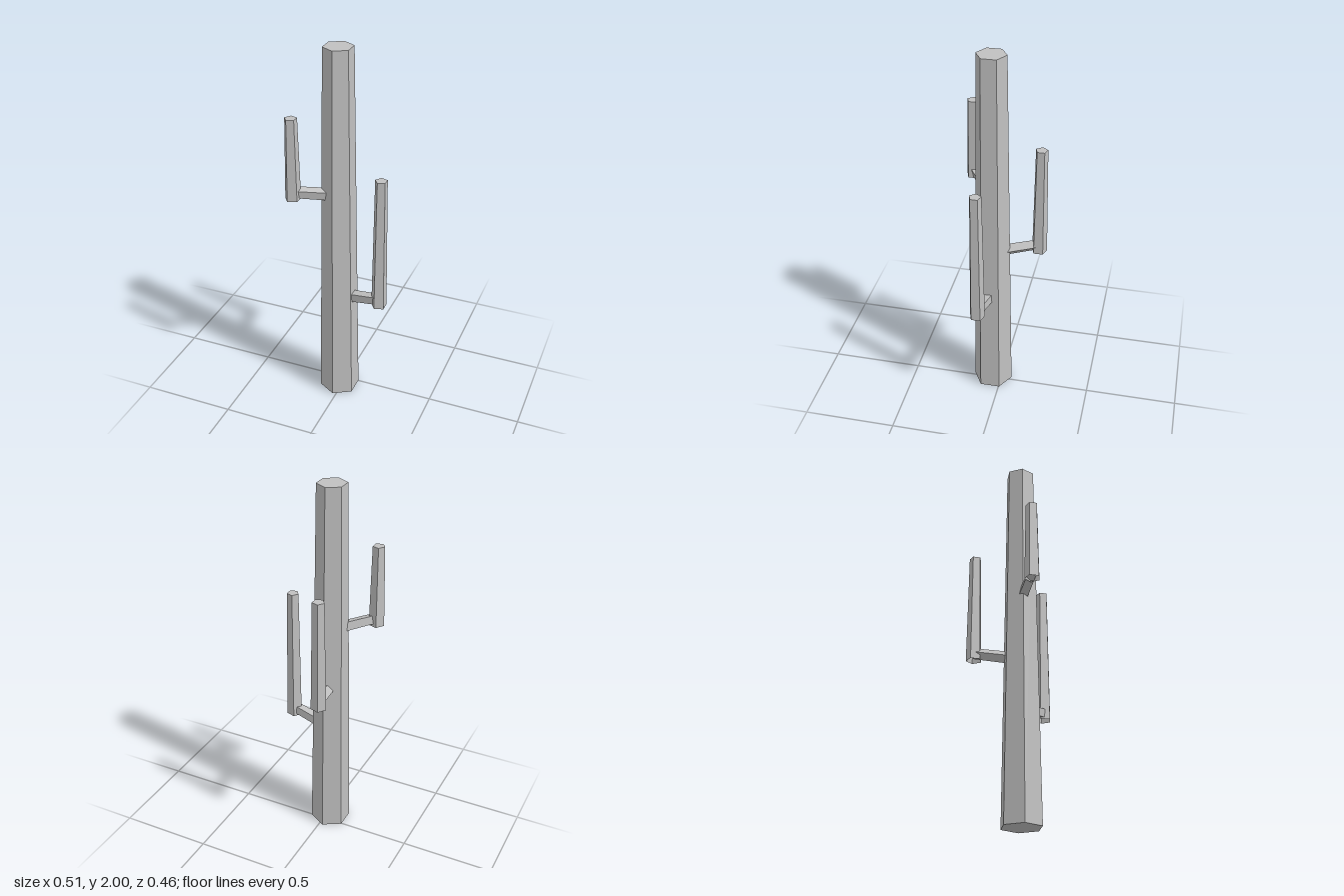
import * as THREE from 'three';

export function createModel() {
  const model = new THREE.Group();
  model.name = 'cactus';
  const grey = new THREE.MeshStandardMaterial({ color: 0xc0c0c0, flatShading: true, side: THREE.DoubleSide });
  grey.name = 'plain grey';

  const add = (name, geometry) => {
    const mesh = new THREE.Mesh(geometry, grey);
    mesh.name = name;
    model.add(mesh);
    return mesh;
  };

  // Tapered six-sided trunk, a vertex facing front
  add('trunk', new THREE.CylinderGeometry(0.077, 0.108, 2, 6)).position.set(-0.02, 1, 0.05);

  // Each arm: a square branch rising out of the trunk, then a five-sided upright
  const arms = [
    { name: 'leftArm', start: [0.02, 0.614, 0.055], end: [0.219, 0.653, 0.083], base: 0.615, top: 1.355, roll: 3 },
    { name: 'rightArm', start: [-0.04, 1.219, 0.065], end: [-0.212, 1.26, 0.19], base: 1.222, top: 1.66, roll: -12 },
    { name: 'backArm', start: [-0.025, 0.883, 0.02], end: [-0.068, 0.926, -0.193], base: 0.885, top: 1.49, roll: 43 },
  ];
  for (const { name, start, end, base, top, roll } of arms) {
    const from = new THREE.Vector3(...start);
    const to = new THREE.Vector3(...end);

    // Branch, built along +z and turned towards the upright
    const square = new THREE.CylinderGeometry(0.03, 0.033, from.distanceTo(to), 4, 1, false, Math.PI / 4);
    square.rotateX(Math.PI / 2).rotateZ(THREE.MathUtils.degToRad(roll));
    const branch = add(name + 'Branch', square);
    branch.position.lerpVectors(from, to, 0.5);
    branch.lookAt(to);

    // Upright with a closed top and an open base, a vertex pointing to -x
    const profile = [[0.042, 0], [0.0325, top - base], [0, top - base]].map(p => new THREE.Vector2(...p));
    const upright = add(name + 'Upright', new THREE.LatheGeometry(profile, 5, -Math.PI / 2));
    upright.position.set(to.x, base, to.z);
  }
  return model;
}
